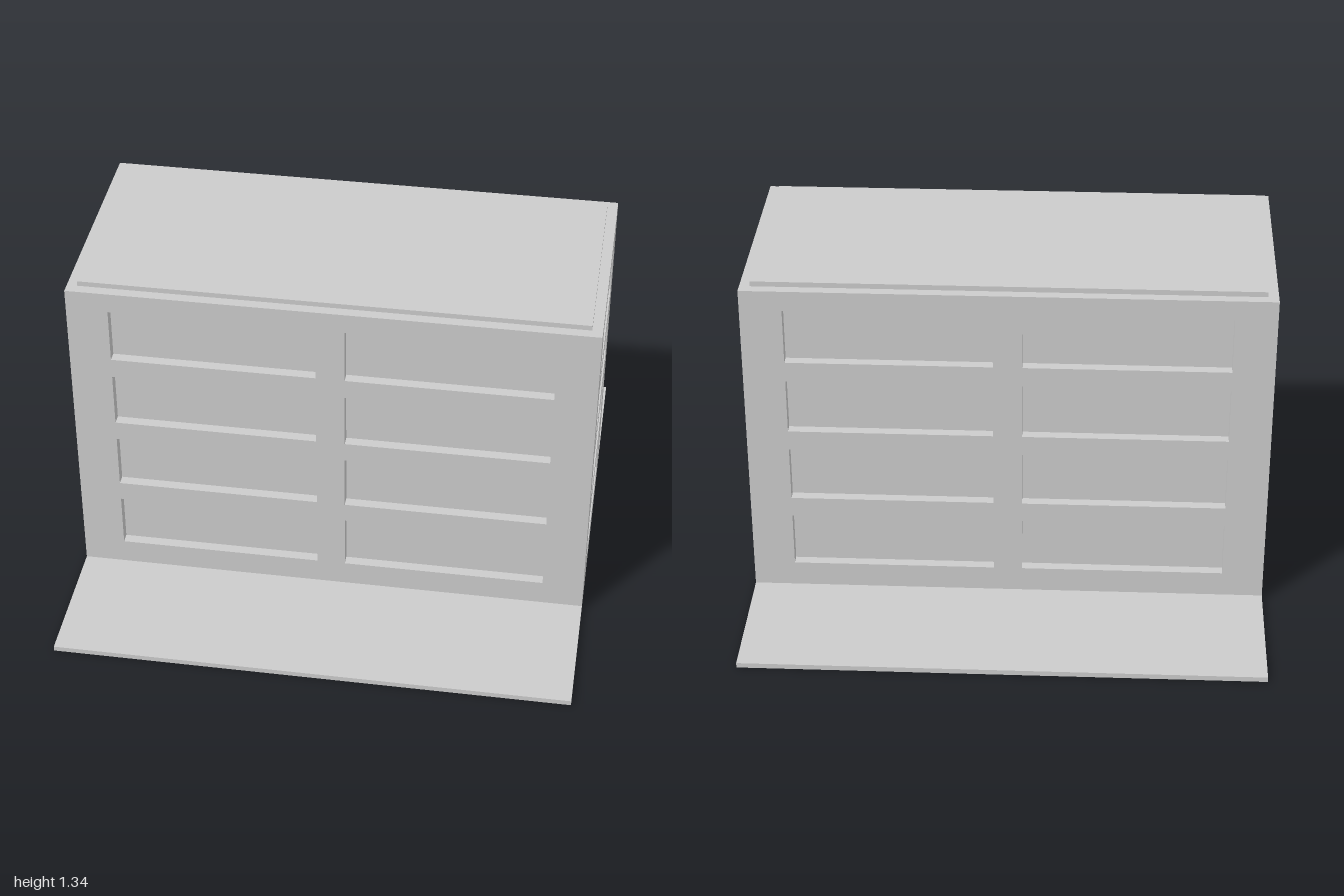
import * as THREE from 'three';

const material = new THREE.MeshStandardMaterial({ color: 0xcccccc, flatShading: true });

const BASE = 0.02, TOP = 1.32;      // wall bottom and top
const HALF_X = 1, HALF_Z = 0.46;    // building half sizes
const FRONT_DEPTH = 0.04, SIDE_DEPTH = 0.06; // window recesses
const FLOORS = 4, SILL = 0.12, WINDOW_H = 0.22, FLOOR_STEP = 0.3;

function add(parent, name, geometry, x = 0, y = 0, z = 0) {
  const mesh = new THREE.Mesh(geometry, material);
  mesh.name = name;
  mesh.position.set(x, y, z);
  parent.add(mesh);
  return mesh;
}

// Rectangle given by its half width and vertical range
function rect(path, halfW, y0, y1) {
  path.moveTo(-halfW, y0);
  path.lineTo(halfW, y0);
  path.lineTo(halfW, y1);
  path.lineTo(-halfW, y1);
  path.closePath();
  return path;
}

// Wall facing +z with one window opening per floor
function wallGeometry(halfW, windowHalfW, depth) {
  const shape = rect(new THREE.Shape(), halfW, BASE, TOP);
  for (let i = 0; i < FLOORS; i++) {
    const y = SILL + i * FLOOR_STEP;
    shape.holes.push(rect(new THREE.Path(), windowHalfW, y, y + WINDOW_H));
  }
  return new THREE.ExtrudeGeometry(shape, { depth, bevelEnabled: false });
}

export function createModel() {
  const model = new THREE.Group();
  model.name = 'building';

  // Ground plate and roof slab
  add(model, 'groundPlate', new THREE.BoxGeometry(2, BASE, 2), 0, BASE / 2, 0);
  add(model, 'roofSlab', new THREE.BoxGeometry(1.92, 0.02, 0.84), 0, TOP + 0.01, 0);

  // Inner core, whose faces form the recessed window panes
  const coreX = HALF_X - SIDE_DEPTH, coreZ = HALF_Z - FRONT_DEPTH;
  add(model, 'windowCore', new THREE.BoxGeometry(coreX * 2, TOP - BASE, coreZ * 2),
    0, (TOP + BASE) / 2, 0);

  // Long walls with a central pier in each window band, front and back
  const longWall = wallGeometry(HALF_X, 0.84, FRONT_DEPTH);
  const pier = new THREE.BoxGeometry(0.11, WINDOW_H, FRONT_DEPTH);
  for (const [name, angle] of [['front', 0], ['back', Math.PI]]) {
    const side = new THREE.Group();
    side.name = name + 'Facade';
    side.rotation.y = angle;
    add(side, name + 'Wall', longWall, 0, 0, coreZ);
    for (let i = 0; i < FLOORS; i++) {
      add(side, name + 'WindowPier', pier,
        0, SILL + i * FLOOR_STEP + WINDOW_H / 2, coreZ + FRONT_DEPTH / 2);
    }
    model.add(side);
  }

  // Short end walls, fitted between the long walls
  const endWall = wallGeometry(coreZ, 0.3, SIDE_DEPTH);
  for (const [name, sign] of [['left', 1], ['right', -1]]) {
    const wall = add(model, name + 'EndWall', endWall, sign * coreX, 0, 0);
    wall.rotation.y = sign * Math.PI / 2;
  }

  return model;
}
